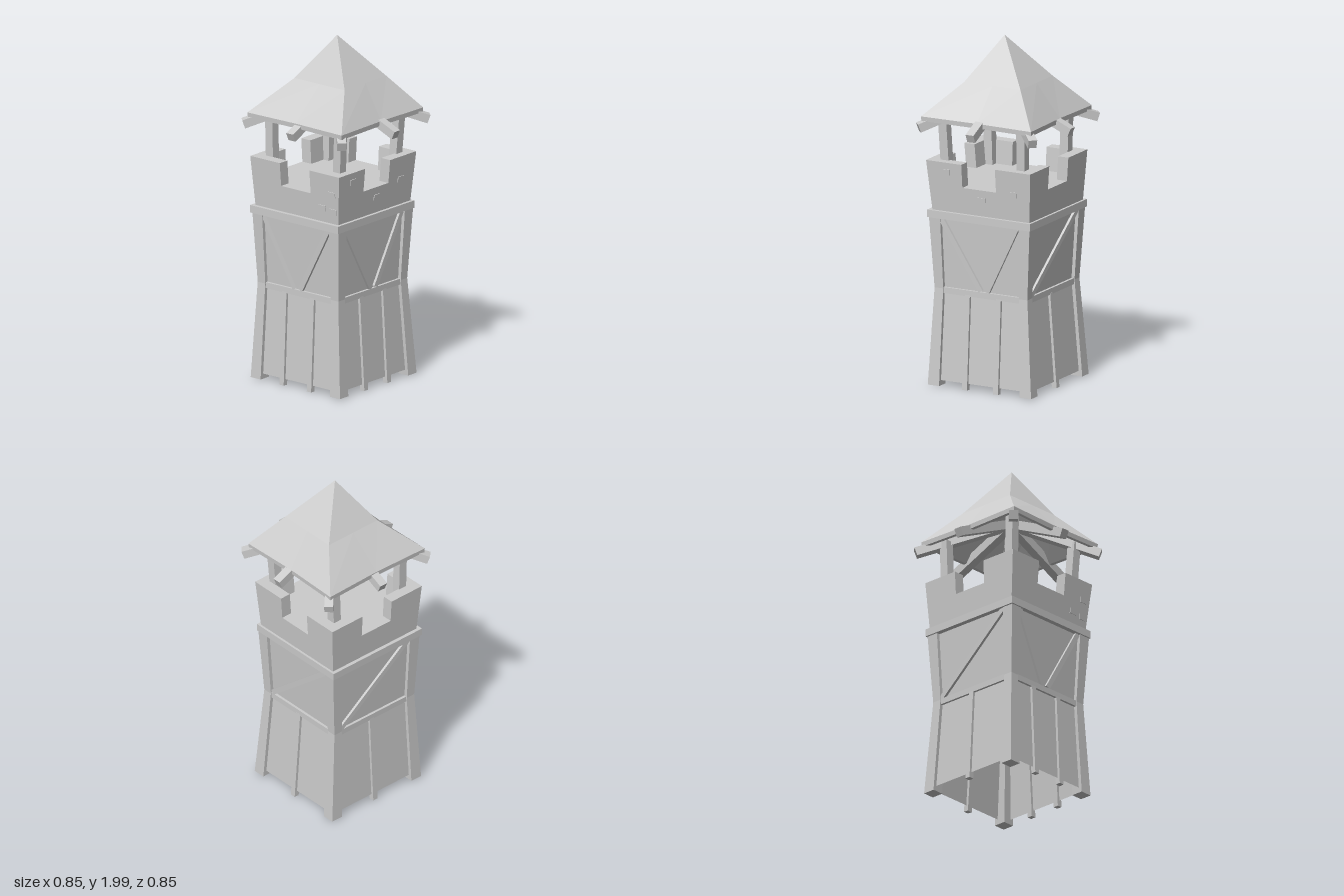
import * as THREE from 'three';

const material = new THREE.MeshStandardMaterial({ color: 0xcccccc, flatShading: true, side: THREE.DoubleSide });

// Outer outline by height: [y, xMin, xMax, zMin, zMax]
const TOWER = [
  [0.015, -0.355, 0.295, -0.325, 0.335],
  [0.57, -0.325, 0.262, -0.283, 0.31],
  [1.0, -0.345, 0.285, -0.31, 0.335],
];
const PARAPET = [
  [1.0, -0.332, 0.268, -0.3, 0.318],
  [1.305, -0.35, 0.297, -0.32, 0.345],
];
const SILL = 1.17;
const INSET = 0.02;

// Outline at any height, interpolated between levels
function bounds(levels, y, inset = 0) {
  let i = 0;
  while (i < levels.length - 2 && y > levels[i + 1][0]) i++;
  const a = levels[i], b = levels[i + 1];
  const t = (y - a[0]) / (b[0] - a[0]);
  const [x0, x1, z0, z1] = [1, 2, 3, 4].map((k) => a[k] + (b[k] - a[k]) * t);
  return { x0: x0 + inset, x1: x1 - inset, z0: z0 + inset, z1: z1 - inset };
}

function rectRing(levels, y, inset = 0) {
  const { x0, x1, z0, z1 } = bounds(levels, y, inset);
  return [[x0, y, z1], [x1, y, z1], [x1, y, z0], [x0, y, z0]];
}

// Skin over a stack of rings (bottom to top), with optional end caps
function loft(name, rings, capBottom = true, capTop = true) {
  const first = rings[0], n = first.length;
  let area = 0;
  first.forEach((p, i) => {
    const q = first[(i + 1) % n];
    area += p[2] * q[0] - q[2] * p[0];
  });
  const R = area < 0 ? rings.map((r) => [r[0], ...r.slice(1).reverse()]) : rings;
  const pos = [];
  const tri = (a, b, c) => pos.push(...a, ...b, ...c);
  for (let k = 0; k < R.length - 1; k++) {
    for (let i = 0; i < n; i++) {
      const j = (i + 1) % n;
      tri(R[k][i], R[k][j], R[k + 1][j]);
      tri(R[k][i], R[k + 1][j], R[k + 1][i]);
    }
  }
  const bottom = R[0], top = R[R.length - 1];
  for (let i = 1; i < n - 1; i++) {
    if (capBottom) tri(bottom[0], bottom[i + 1], bottom[i]);
    if (capTop) tri(top[0], top[i], top[i + 1]);
  }
  const geo = new THREE.BufferGeometry();
  geo.setAttribute('position', new THREE.Float32BufferAttribute(pos, 3));
  geo.computeVertexNormals();
  const mesh = new THREE.Mesh(geo, material);
  mesh.name = name;
  return mesh;
}

// Box from a to b, its depth axis turned towards "out"
function beam(name, a, b, width, depth, out) {
  const dir = b.clone().sub(a);
  const geo = new THREE.BoxGeometry(width, dir.length(), depth);
  dir.normalize();
  const side = new THREE.Vector3().crossVectors(dir, out).normalize();
  const m = new THREE.Matrix4().makeBasis(side, dir, new THREE.Vector3().crossVectors(side, dir));
  m.setPosition(a.clone().add(b).multiplyScalar(0.5));
  const mesh = new THREE.Mesh(geo.applyMatrix4(m), material);
  mesh.name = name;
  return mesh;
}

const V = (x, y, z) => new THREE.Vector3(x, y, z);
const OUT = { front: V(0, 0, 1), back: V(0, 0, -1), left: V(1, 0, 0), right: V(-1, 0, 0) };

// Point on a face: u runs along x for front and back, along z for the sides
function onFace(face, u, y, levels = TOWER, inset = INSET) {
  const b = bounds(levels, y, inset);
  if (face === 'front') return V(u, y, b.z1);
  if (face === 'back') return V(u, y, b.z0);
  return V(face === 'left' ? b.x1 : b.x0, y, u);
}

export function createModel() {
  const group = new THREE.Group();
  group.name = 'watchtower';

  // Hollow walls, pinched at the waist
  group.add(loft('walls', [0.045, 0.57, 1.0].map((y) => rectRing(TOWER, y, INSET)), false, false));

  // Corner posts following the pinch
  const postWidth = [0.072, 0.055, 0.072];
  for (const sx of [-1, 1]) for (const sz of [-1, 1]) {
    group.add(loft('cornerPost', TOWER.map(([y], i) => {
      const b = bounds(TOWER, y), w = postWidth[i];
      const x = sx < 0 ? b.x0 : b.x1, z = sz < 0 ? b.z0 : b.z1;
      const xi = x - sx * w, zi = z - sz * w;
      return [[x, y, z], [xi, y, z], [xi, y, zi], [x, y, zi]];
    })));
  }

  // Timber framing on each face: planks by u, braces as [uTop, uBottom]
  const framing = {
    front: { planks: [-0.135, 0.065], braces: [[-0.27, -0.06], [0.2, -0.02]] },
    left: { planks: [0.103, -0.095], braces: [[0.26, 0.02], [-0.22, -0.02]] },
    back: { planks: [-0.018], braces: [[-0.27, 0.2]] },
    right: { planks: [0.0], braces: [[0.26, -0.23]] },
  };
  for (const [face, { planks, braces }] of Object.entries(framing)) {
    const out = OUT[face];
    const put = (name, u0, y0, u1, y1, w) =>
      group.add(beam(name, onFace(face, u0, y0), onFace(face, u1, y1), w, 0.03, out));
    for (const u of planks) put('plank', u, 0.01, u, 0.55, 0.032);
    for (const [top, bottom] of braces) put('brace', top, 0.975, bottom, 0.58, 0.03);
    const [lo, hi] = out.z ? [-0.3, 0.24] : [-0.26, 0.29];
    put('middleRail', lo, 0.56, hi, 0.56, 0.034);
  }

  // Ledge below the parapet
  group.add(loft('ledge', [0.975, 1.018].map((y) => {
    const [x0, x1, z0, z1] = [-0.354, 0.288, -0.315, 0.343];
    return [[x0, y, z1], [x1, y, z1], [x1, y, z0], [x0, y, z0]];
  })));

  // Flared parapet base with the deck on top
  group.add(loft('parapet', [1.0, SILL].map((y) => rectRing(PARAPET, y))));

  // L-shaped corner merlons
  const gapX = { '-1': -0.135, 1: 0.08 }, gapZ = { '-1': -0.095, 1: 0.12 }, thick = 0.065;
  for (const sx of [-1, 1]) for (const sz of [-1, 1]) {
    group.add(loft('merlon', [SILL, 1.305].map((y) => {
      const b = bounds(PARAPET, y);
      const x = sx < 0 ? b.x0 : b.x1, z = sz < 0 ? b.z0 : b.z1;
      const xi = x - sx * thick, zi = z - sz * thick;
      return [[x, y, z], [gapX[sx], y, z], [gapX[sx], y, zi], [xi, y, zi], [xi, y, gapZ[sz]], [x, y, gapZ[sz]]];
    })));
  }

  // A few raised stones
  const stones = [['front', 0.235, 1.19], ['front', 0.16, 1.1], ['front', 0.24, 1.09],
    ['left', 0.22, 1.25], ['left', 0.0, 1.11], ['left', -0.2, 1.17]];
  for (const [face, u, y] of stones) {
    group.add(beam('stone', onFace(face, u, y - 0.016, PARAPET, 0), onFace(face, u, y + 0.016, PARAPET, 0),
      0.05, 0.008, OUT[face]));
  }

  // Roof posts
  for (const [x0, x1] of [[-0.265, -0.265], [0.212, 0.24]]) {
    for (const [z0, z1] of [[0.25, 0.262], [-0.225, -0.24]]) {
      group.add(beam('roofPost', V(x0, SILL - 0.02, z0), V(x1, 1.56, z1), 0.052, 0.052, OUT.front));
    }
  }

  // Rafters radiating from under the peak
  const tips = [[0, 0.41], [0, -0.415], [0.415, -0.005], [-0.415, -0.005],
    [-0.375, -0.37], [0.348, -0.365], [-0.375, 0.375], [0.338, 0.37]];
  for (const [x, z] of tips) {
    group.add(beam('rafter', V(x, 1.497, z), V(0, 1.68, 0.005), 0.05, 0.05, V(0, 1, 0)));
  }

  // Roof shell: up the inside, round the lip and up to the peak
  const roofRing = (y, x0, x1, z0, z1, sag = 0) => {
    const xm = (x0 + x1) / 2, zm = (z0 + z1) / 2;
    return [[x0, y, z1], [xm, y, z1 - sag], [x1, y, z1], [x1 - sag, y, zm],
      [x1, y, z0], [xm, y, z0 + sag], [x0, y, z0], [x0 + sag, y, zm]];
  };
  const peak = (y) => roofRing(y, 0, 0, 0.01, 0.01);
  group.add(loft('roof', [
    peak(1.96),
    roofRing(1.72, -0.165, 0.165, -0.18, 0.155),
    roofRing(1.533, -0.335, 0.305, -0.32, 0.338, 0.01),
    roofRing(1.533, -0.356, 0.326, -0.341, 0.358, 0.01),
    roofRing(1.56, -0.358, 0.328, -0.343, 0.36, 0.01),
    roofRing(1.75, -0.18, 0.185, -0.195, 0.165),
    peak(2.0),
  ].map((r) => r), false, false));

  return group;
}
